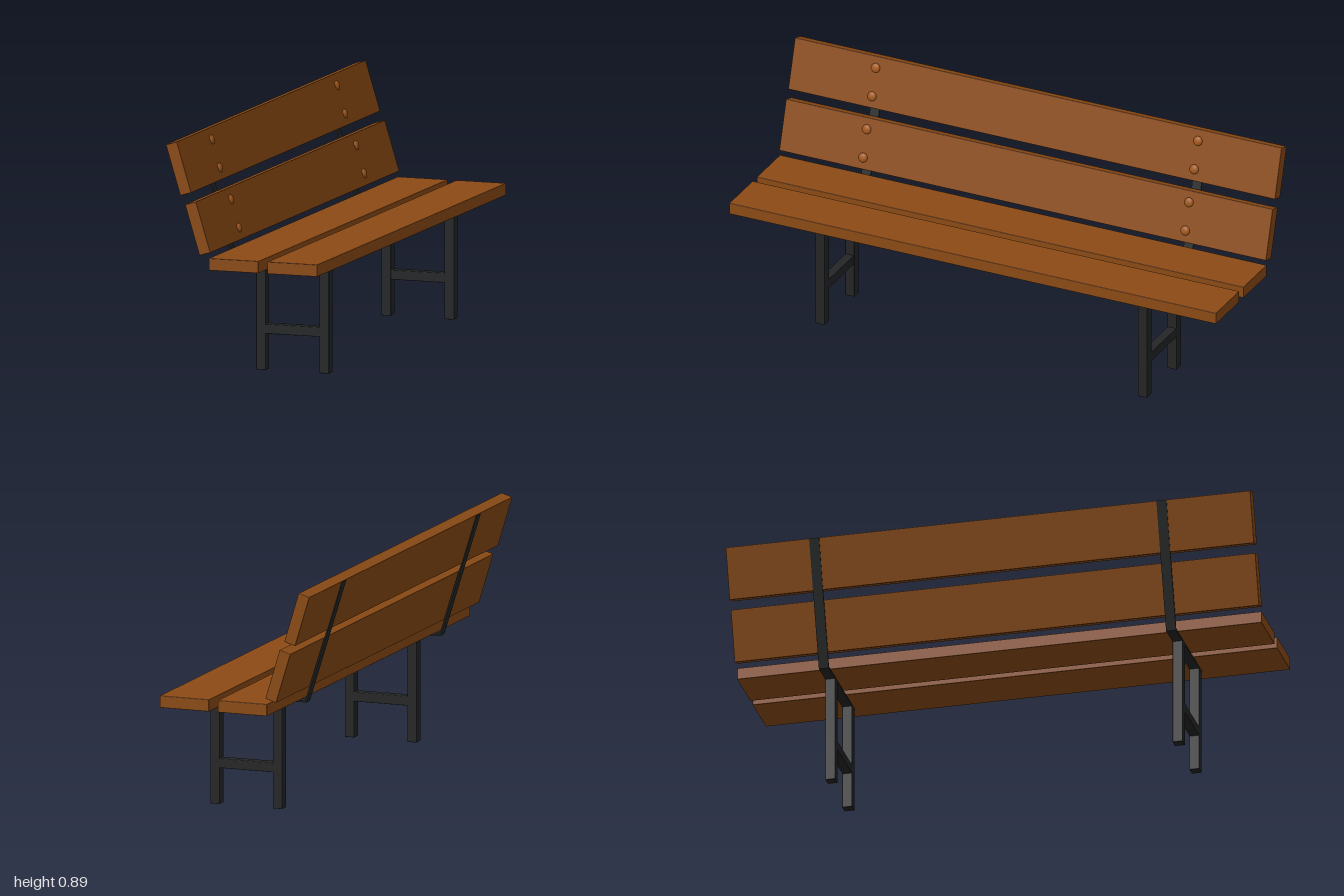
import * as THREE from 'three';
import { RoundedBoxGeometry } from 'three/addons/geometries/RoundedBoxGeometry.js';

const wood = new THREE.MeshStandardMaterial({ color: 0x8b4a14 });
const iron = new THREE.MeshStandardMaterial({ color: 0x242526 });
const boltMat = new THREE.MeshStandardMaterial({ color: 0xa0571c });

const FRAME_Z = 0.662; // distance of each iron frame from the middle
const BAR = 0.038; // width of the iron bars
const PLANK_W = 0.196;
const PLANK_T = 0.045;
const LEAN = 0.295; // backward tilt of the backrest

function bar(name, w, h, d, x, y, z, material) {
  const mesh = new THREE.Mesh(new RoundedBoxGeometry(w, h, d, 2, 0.002), material);
  mesh.name = name;
  mesh.position.set(x, y, z);
  return mesh;
}

// Backrest board with two domed bolts at each frame
function backBoard(name, x, y) {
  const group = new THREE.Group();
  group.name = name;
  group.add(bar('backPlank', PLANK_T, PLANK_W, 2, 0, 0, 0, wood));
  const dome = new THREE.SphereGeometry(0.018, 20, 14);
  for (const z of [-FRAME_Z, FRAME_Z]) {
    for (const dy of [-0.054, 0.054]) {
      const bolt = new THREE.Mesh(dome, boltMat);
      bolt.name = 'bolt';
      bolt.scale.x = 0.5;
      bolt.position.set(PLANK_T / 2, dy, z);
      group.add(bolt);
    }
  }
  group.position.set(x, y, 0);
  group.rotation.z = LEAN;
  return group;
}

// Iron frame: two legs, a stretcher and a bent strap carrying seat and back
function frame(name, z) {
  const group = new THREE.Group();
  group.name = name;
  group.position.z = z;
  group.add(bar('rearLeg', BAR, 0.412, BAR, -0.041, 0.206, 0, iron));
  group.add(bar('frontLeg', BAR, 0.412, BAR, 0.208, 0.206, 0, iron));
  group.add(bar('stretcher', 0.22, 0.036, BAR * 0.95, 0.0835, 0.154, 0, iron));

  const profile = new THREE.Shape([
    [-0.3, 0.874], [-0.155, 0.409], [0.227, 0.409],
    [0.227, 0.415], [-0.151, 0.415], [-0.295, 0.875],
  ].map(([x, y]) => new THREE.Vector2(x, y)));
  const geometry = new THREE.ExtrudeGeometry(profile, { depth: BAR, bevelEnabled: false });
  geometry.translate(0, 0, -BAR / 2);
  const strap = new THREE.Mesh(geometry, iron);
  strap.name = 'bentStrap';
  group.add(strap);
  return group;
}

export function createModel() {
  const bench = new THREE.Group();
  bench.name = 'bench';
  bench.add(frame('leftEndFrame', FRAME_Z), frame('rightEndFrame', -FRAME_Z));

  // Seat boards
  bench.add(bar('rearSeatPlank', PLANK_W, PLANK_T, 2, -0.03, 0.438, 0, wood));
  bench.add(bar('frontSeatPlank', PLANK_W, PLANK_T, 2, 0.201, 0.438, 0, wood));

  // Backrest boards
  bench.add(backBoard('lowerBackBoard', -0.1715, 0.569));
  bench.add(backBoard('upperBackBoard', -0.247, 0.789));
  return bench;
}
